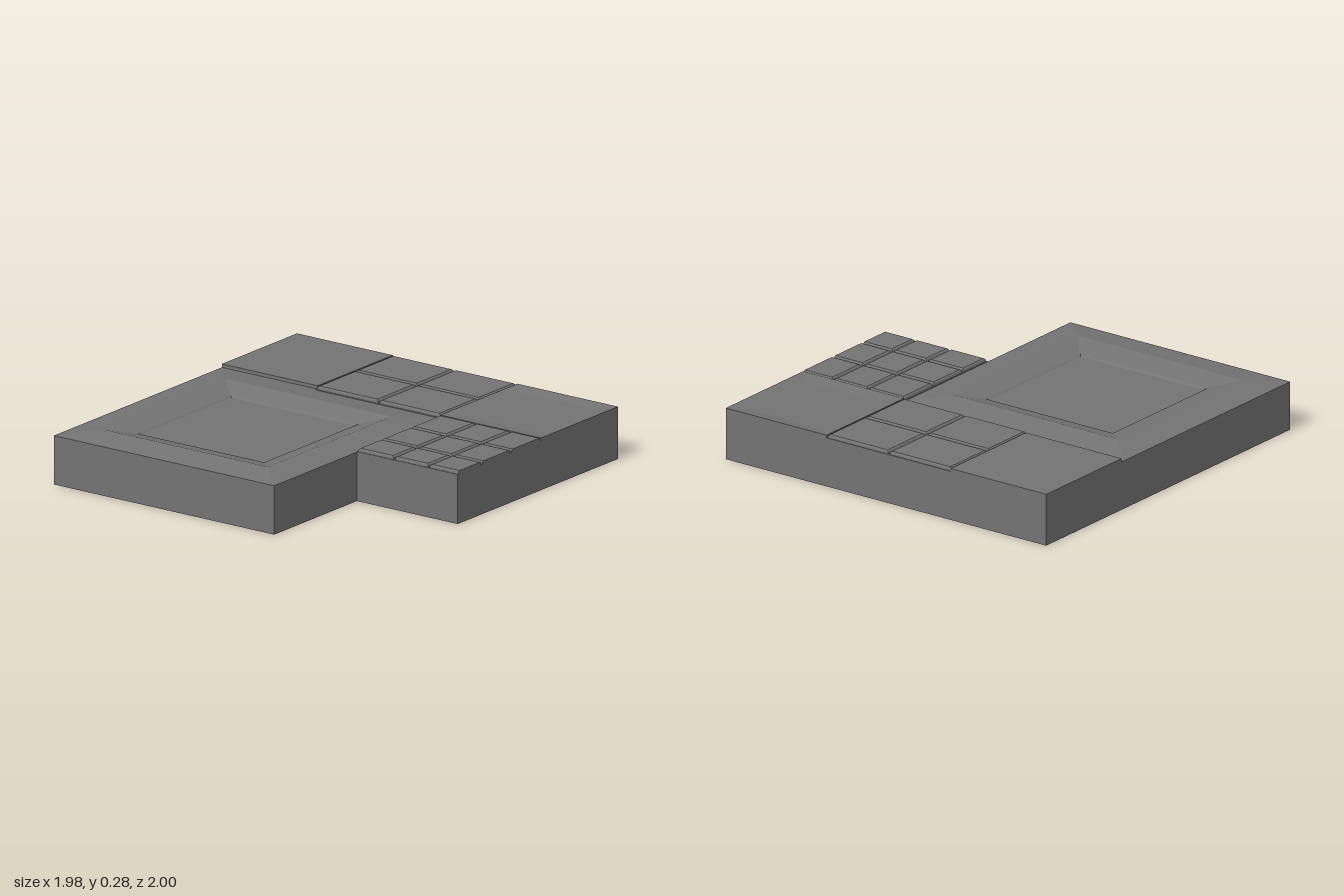
import * as THREE from 'three';

const BASE = 0.22, GROOVE = 0.256, TOP = 0.273;
const X0 = -0.99, X1 = 0.367, X2 = 0.988, ZB = -1, ZM = -0.365, ZR = 0.32, ZF = 1;
const material = new THREE.MeshStandardMaterial({ color: 0x737373, flatShading: true });

// Stack of rectangular rings [x0, x1, z0, z1, y], joined by sloped walls, closed by the last ring
function terrace(name, rings) {
  const pos = [];
  const loops = rings.map(([x0, x1, z0, z1, y]) => [[x0, y, z1], [x1, y, z1], [x1, y, z0], [x0, y, z0]]);
  const quad = (a, b, c, d) => pos.push(...a, ...b, ...c, ...a, ...c, ...d);
  for (let i = 0; i < loops.length - 1; i++) {
    for (let k = 0; k < 4; k++) {
      const n = (k + 1) % 4;
      quad(loops[i][k], loops[i][n], loops[i + 1][n], loops[i + 1][k]);
    }
  }
  quad(...loops[loops.length - 1]);
  const geometry = new THREE.BufferGeometry();
  geometry.setAttribute('position', new THREE.Float32BufferAttribute(pos, 3));
  geometry.computeVertexNormals();
  const mesh = new THREE.Mesh(geometry, material);
  mesh.name = name;
  return mesh;
}

// Bed with bevelled tiles between the given grid lines; flushRight leaves no groove along the last x line
function tileGrid(name, xs, zs, flushRight) {
  const group = new THREE.Group();
  group.name = name;
  const xe = xs[xs.length - 1], ze = zs[zs.length - 1];
  group.add(terrace(name + 'Bed', [[xs[0], xe, zs[0], ze, BASE], [xs[0], xe, zs[0], ze, GROOVE]]));
  for (let i = 0; i < xs.length - 1; i++) {
    const right = flushRight && i === xs.length - 2 ? 0 : 1;
    for (let j = 0; j < zs.length - 1; j++) {
      const ring = (d, y) => [xs[i] + d, xs[i + 1] - right * d, zs[j] + d, zs[j + 1] - d, y];
      group.add(terrace('tile', [ring(0.004, GROOVE), ring(0.007, 0.267), ring(0.014, TOP)]));
    }
  }
  return group;
}

export function createModel() {
  const model = new THREE.Group();
  model.name = 'tiledSlab';

  // Solid base with one corner cut away
  const outline = new THREE.Shape();
  [[X0, -ZF], [X1, -ZF], [X1, -ZR], [X2, -ZR], [X2, -ZB], [X0, -ZB]]
    .forEach(([x, y], i) => (i ? outline.lineTo(x, y) : outline.moveTo(x, y)));
  const baseGeometry = new THREE.ExtrudeGeometry(outline, { depth: BASE, bevelEnabled: false });
  baseGeometry.rotateX(-Math.PI / 2);
  const base = new THREE.Mesh(baseGeometry, material);
  base.name = 'base';
  model.add(base);

  // Large framed panel: raised ridge, gentle inner slope and a small lip around the sunken floor
  model.add(terrace('sunkenPanel', [
    [X0, X1, ZM, ZF, BASE],
    [X0, X1, ZM, ZF, 0.253],
    [-0.82, 0.2, -0.19, 0.83, 0.275],
    [-0.702, 0.082, -0.072, 0.702, 0.243],
    [-0.69, 0.07, -0.06, 0.69, 0.235],
  ]));

  // Plain corner block with a narrow ledge in front
  const ledge = ZM - 0.017;
  model.add(terrace('plainBlock', [
    [X0, -0.4, ZB, ledge, BASE],
    [X0, -0.4, ZB, ledge, 0.271],
  ]));
  model.add(terrace('plainBlockLedge', [
    [X0, -0.4, ledge, ZM, BASE],
    [X0, -0.4, ledge, ZM, 0.253],
  ]));

  // Two by two and three by three tile fields
  model.add(tileGrid('largeTiles', [-0.4, -0.015, X1], [ZB, -0.687, ZM], false));
  model.add(tileGrid('smallTiles', [X1, 0.593, 0.806, X2], [ZM, -0.117, 0.123, ZR], true));

  // Shallow dished corner block
  model.add(terrace('dishedBlock', [
    [X1, X2, ZB, ZM, BASE],
    [X1, X2, ZB, ZM, 0.27],
    [0.44, 0.91, -0.925, -0.455, 0.259],
  ]));

  return model;
}
